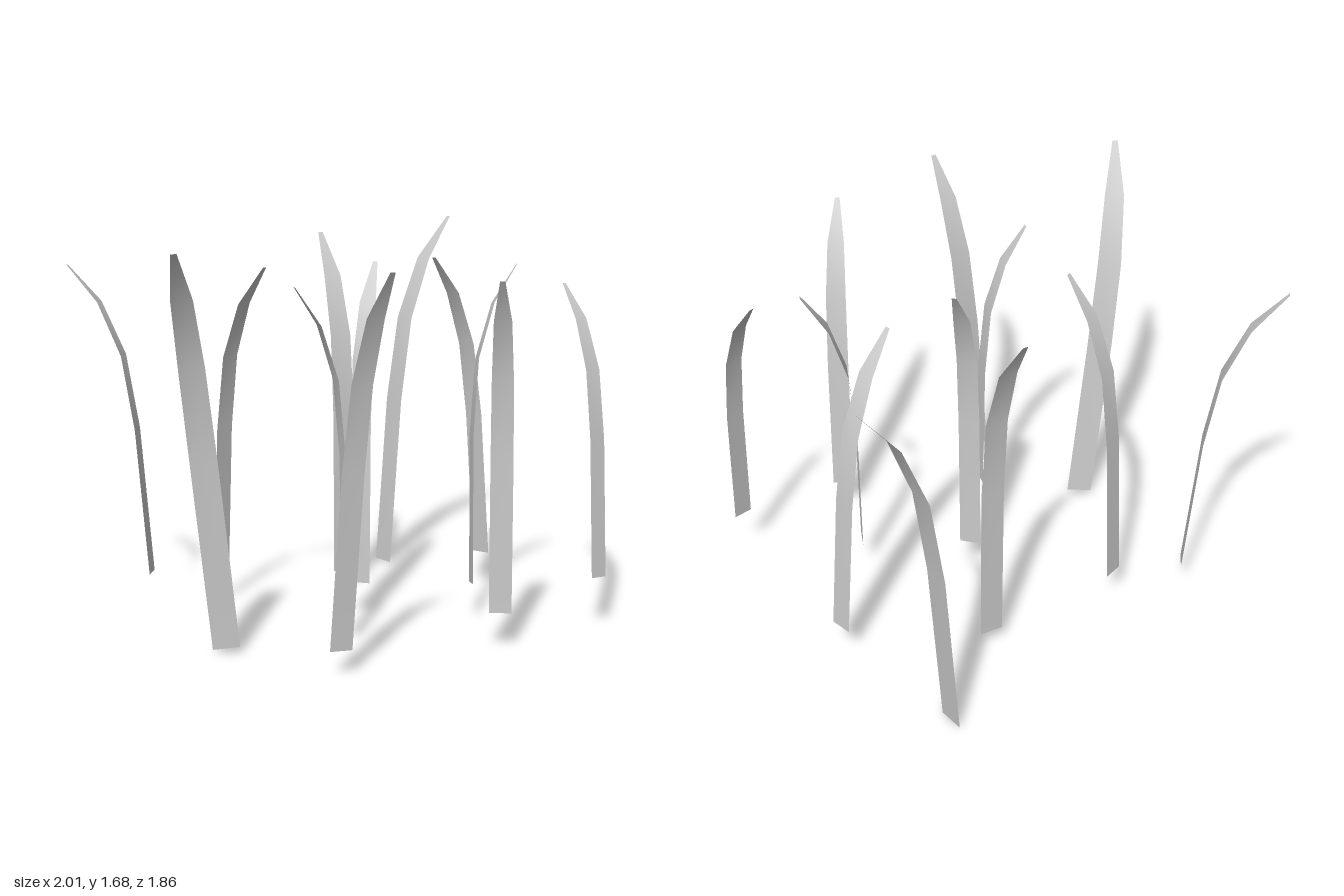
import * as THREE from 'three';

// Rows of a blade: share of its length, share of its bend, share of its width
const ROWS = [
  [0, 0, 1],
  [0.468, 0.025, 1],
  [0.705, 0.15, 0.95],
  [0.878, 0.49, 0.78],
  [1, 1, 0.22],
];
const WIDTH = 0.067; // base width per unit of length

// Each blade: base, a point on its straight lower part, tip
const BLADES = [
  [[0.60, 0.00, -0.835], [0.66, 0.78, -0.853], [1.00, 1.675, -0.92]],
  [[-0.70, 0.15, -0.575], [-0.74, 0.80, -0.60], [-0.995, 1.525, -0.768]],
  [[0.223, 0.07, -0.50], [0.223, 0.80, -0.50], [0.223, 1.63, -0.75]],
  [[-0.395, 0.15, -0.495], [-0.395, 0.80, -0.455], [-0.302, 1.53, -0.20]],
  [[0.813, 0.15, -0.25], [0.786, 0.80, -0.277], [0.54, 1.54, -0.235]],
  [[0.053, 0.15, -0.003], [0.056, 0.80, -0.005], [0.21, 1.54, -0.165]],
  [[0.357, 0.15, 0.685], [0.352, 0.80, 0.69], [0.237, 1.54, 0.864]],
  [[0.471, 0.16, 0.249], [0.505, 0.80, 0.17], [0.74, 1.535, 0.15]],
  [[0.895, 0.22, 0.605], [0.915, 0.80, 0.546], [0.896, 1.455, 0.285]],
  [[-0.682, 0.02, 0.249], [-0.773, 0.79, 0.26], [-0.995, 1.665, 0.54]],
  [[-0.193, 0.20, 0.354], [-0.195, 0.80, 0.346], [-0.395, 1.495, 0.307]],
  [[-0.39, 0.10, 0.722], [-0.34, 0.80, 0.72], [-0.273, 1.60, 0.924]],
];

// A thin ribbon that rises straight, then arches over to a narrow tip
function bladeGeometry(basePoint, midPoint, tipPoint) {
  const base = new THREE.Vector3(...basePoint);
  const up = new THREE.Vector3(...midPoint).sub(base).normalize();
  const bend = new THREE.Vector3(...tipPoint).sub(base);
  const length = bend.dot(up);
  bend.addScaledVector(up, -length);
  const across = new THREE.Vector3().crossVectors(up, bend).normalize();

  const positions = [];
  const indices = [];
  ROWS.forEach(([along, arch, wide], i) => {
    const centre = base.clone().addScaledVector(up, along * length).addScaledVector(bend, arch);
    for (const side of [-0.5, 0.5]) {
      const p = centre.clone().addScaledVector(across, side * wide * WIDTH * length);
      positions.push(p.x, p.y, p.z);
    }
    if (i > 0) {
      const a = 2 * (i - 1);
      indices.push(a, a + 1, a + 3, a, a + 3, a + 2);
    }
  });
  const geometry = new THREE.BufferGeometry();
  geometry.setAttribute('position', new THREE.Float32BufferAttribute(positions, 3));
  geometry.setIndex(indices);
  geometry.computeVertexNormals();
  return geometry;
}

export function createModel() {
  const group = new THREE.Group();
  group.name = 'grassPatch';
  const material = new THREE.MeshStandardMaterial({ color: 0xcccccc, side: THREE.DoubleSide });
  BLADES.forEach((points, i) => {
    const blade = new THREE.Mesh(bladeGeometry(...points), material);
    blade.name = `grassBlade${i + 1}`;
    group.add(blade);
  });
  return group;
}
